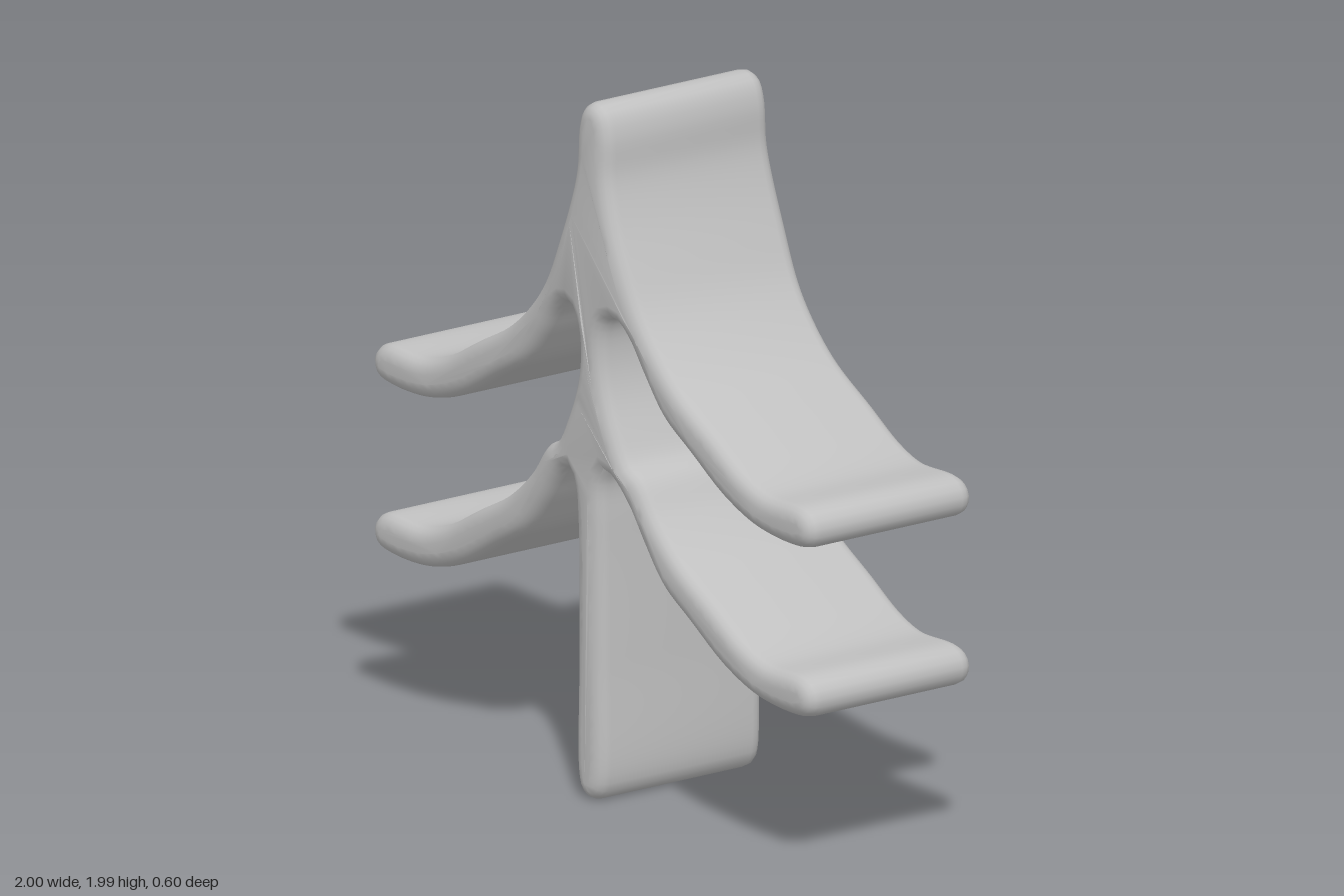
import * as THREE from 'three';
import { toCreasedNormals } from 'three/addons/utils/BufferGeometryUtils.js';

const HALF_DEPTH = 0.283;
const BEVEL = 0.042;
const TIER_DROP = 0.483;

// Upper edge of a curved branch from trunk to tip, round the tip, and back along its underside
const BRANCH = [
  [0.21, 1.455], [0.28, 1.365], [0.385, 1.27], [0.545, 1.18], [0.68, 1.105], [0.78, 1.075], [0.945, 1.075],
  [0.985, 1.055], [1.0, 1.017], [0.985, 0.98], [0.945, 0.963],
  [0.76, 0.965], [0.6, 1.015], [0.44, 1.105], [0.315, 1.18], [0.225, 1.283], [0.165, 1.365],
];

// One side of the outline, from the tip of the trunk down to its foot
function sideOutline(lowerCrotch, stemX) {
  return [
    [0.045, 1.98], [0.068, 1.92], [0.074, 1.8], [0.1, 1.7], [0.15, 1.575],
    ...BRANCH,
    [0.115, 1.405], [0.08, 1.4], [0.058, 1.36], [0.052, 1.28],
    [0.067, 1.19], [0.107, 1.09], [0.16, 1.0],
    ...BRANCH.map(([x, y]) => [x, y - TIER_DROP]),
    ...lowerCrotch,
    [stemX, 0.8], [stemX, 0.4], [stemX, 0.07], [stemX - 0.017, 0.025],
  ];
}

function treeGeometry() {
  const left = sideOutline([[0.1, 0.945], [0.066, 0.96], [0.046, 0.92]], 0.042);
  const right = sideOutline([[0.125, 0.925], [0.098, 0.93], [0.078, 0.89]], 0.072)
    .map(([x, y]) => [-x, y]).reverse();

  // Closed smooth outline through both sides
  const points = [[0, 2], ...left, [-0.015, 0.005], ...right];
  const curve = new THREE.CatmullRomCurve3(
    points.map(([x, y]) => new THREE.Vector3(x, y, 0)), true, 'centripetal');
  curve.arcLengthDivisions = 2000;
  const outline = curve.getSpacedPoints(520).slice(0, -1)
    .map((p) => new THREE.Vector2(p.x, p.y));

  const geometry = new THREE.ExtrudeGeometry(new THREE.Shape(outline), {
    depth: 2 * (HALF_DEPTH - BEVEL),
    bevelEnabled: true,
    bevelThickness: BEVEL,
    bevelSize: BEVEL,
    bevelOffset: -BEVEL,
    bevelSegments: 4,
  });
  geometry.translate(0, 0, -(HALF_DEPTH - BEVEL));

  // Slight swelling in depth where the branches meet the trunk
  const pos = geometry.attributes.position;
  for (let i = 0; i < pos.count; i++) {
    const x = pos.getX(i), y = pos.getY(i);
    const swell = 0.065 * Math.exp(-(((y - 1.5) / 0.28) ** 2))
      + 0.03 * Math.exp(-(((y - 0.98) / 0.2) ** 2));
    pos.setZ(i, pos.getZ(i) * (1 + swell * Math.exp(-((x / 0.17) ** 2))));
  }
  return toCreasedNormals(geometry, 0.7);
}

export function createModel() {
  const grey = new THREE.MeshStandardMaterial({ color: 0xc0c0c0 });
  grey.name = 'lightGrey';

  const tree = new THREE.Mesh(treeGeometry(), grey);
  tree.name = 'trunkAndBranches';

  const model = new THREE.Group();
  model.name = 'tieredTree';
  model.add(tree);
  return model;
}
